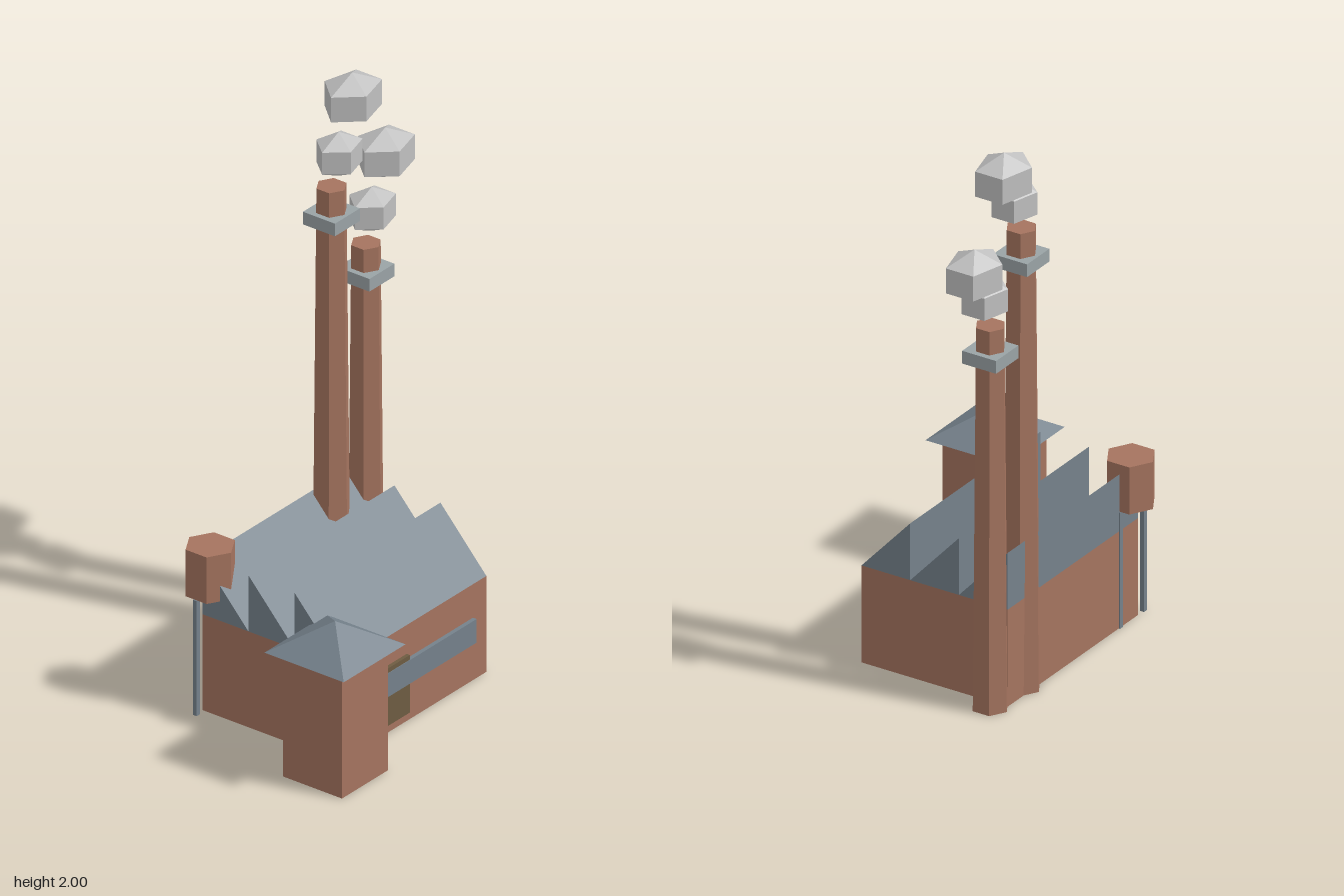
import * as THREE from 'three';

const flat = (name, color) => {
  const m = new THREE.MeshStandardMaterial({ color });
  m.name = name;
  m.flatShading = true;
  return m;
};

export function createModel() {
  const brick = flat('brick', 0xa5745f);
  const slate = flat('slate', 0x75818b);
  const wood = flat('door wood', 0x6e5c42);
  const stone = flat('chimney band', 0x9aa3a6);
  const smoke = flat('smoke', 0xc0c0c0);

  const model = new THREE.Group();
  model.name = 'factory';

  const add = (name, geometry, material, x, y, z, parent = model) => {
    const mesh = new THREE.Mesh(geometry, material);
    mesh.name = name;
    mesh.position.set(x, y, z);
    parent.add(mesh);
    return mesh;
  };
  // Box given by its lower and upper corners
  const box = (name, mat, [x0, y0, z0], [x1, y1, z1], parent) =>
    add(name, new THREE.BoxGeometry(x1 - x0, y1 - y0, z1 - z0), mat,
      (x0 + x1) / 2, (y0 + y1) / 2, (z0 + z1) / 2, parent);

  // Main hall
  box('hallWalls', brick, [-0.4, 0, -0.34], [0.36, 0.35, 0.22]);

  // Sawtooth roof: three wedges sloping up to the back
  const pitch = 0.56 / 3;
  const tooth = new THREE.Shape([
    new THREE.Vector2(0, 0),
    new THREE.Vector2(-pitch, 0.205),
    new THREE.Vector2(-pitch, 0),
  ]);
  const toothGeo = new THREE.ExtrudeGeometry(tooth, { depth: 0.76, bevelEnabled: false });
  toothGeo.rotateY(-Math.PI / 2);
  for (let i = 0; i < 3; i++) add('roofTooth' + (i + 1), toothGeo, slate, 0.36, 0.35, 0.22 - i * pitch);

  // Door and long window strip on the front
  box('door', wood, [-0.2, 0.035, 0.215], [-0.055, 0.245, 0.233]);
  box('windowStrip', slate, [-0.335, 0.142, 0.215], [0.29, 0.228, 0.235]);

  // Corner tower with pyramid roof
  box('towerWalls', brick, [-0.59, 0, 0.135], [-0.35, 0.455, 0.375]);
  const pyramid = new THREE.ConeGeometry(0.161 * Math.SQRT2, 0.1, 4);
  pyramid.rotateY(Math.PI / 4);
  add('towerRoof', pyramid, slate, -0.47, 0.505, 0.253);

  // Tapered six-sided chimneys, each with a square band
  const chimney = (name, x, z, height, rBottom, rTop, bandY) => {
    const g = new THREE.Group();
    g.name = name;
    g.position.set(x, 0, z);
    model.add(g);
    add('stack', new THREE.CylinderGeometry(rTop, rBottom, height, 6), brick, 0, height / 2, 0, g);
    add('band', new THREE.BoxGeometry(0.13, 0.046, 0.13), stone, 0, bandY, 0, g);
  };
  chimney('tallChimney', 0.22, -0.3, 1.66, 0.067, 0.052, 1.548);
  chimney('shortChimney', 0.393, -0.295, 1.38, 0.063, 0.051, 1.273);

  // Smoke puffs: [x, y, z, x radius, y radius, z radius]
  [
    [0.251, 1.765, -0.295, 0.099, 0.08, 0.085],
    [0.366, 1.91, -0.33, 0.127, 0.09, 0.103],
    [0.423, 1.49, -0.295, 0.101, 0.08, 0.085],
    [0.538, 1.635, -0.33, 0.125, 0.09, 0.103],
  ].forEach(([x, y, z, rx, ry, rz], i) => {
    const puff = new THREE.SphereGeometry(1, 5, 3);
    puff.scale(rx, ry, rz);
    add('smokePuff' + (i + 1), puff, smoke, x, y, z);
  });

  // Water tank on thin legs at the back corner
  add('waterTank', new THREE.CylinderGeometry(0.085, 0.085, 0.17, 6), brick, -0.366, 0.505, -0.335);
  for (const side of [-1, 1]) {
    const x = -0.366 + side * 0.07;
    box(side < 0 ? 'rightTankLeg' : 'leftTankLeg', slate, [x - 0.008, 0, -0.345], [x + 0.008, 0.42, -0.329]);
  }

  return model;
}
